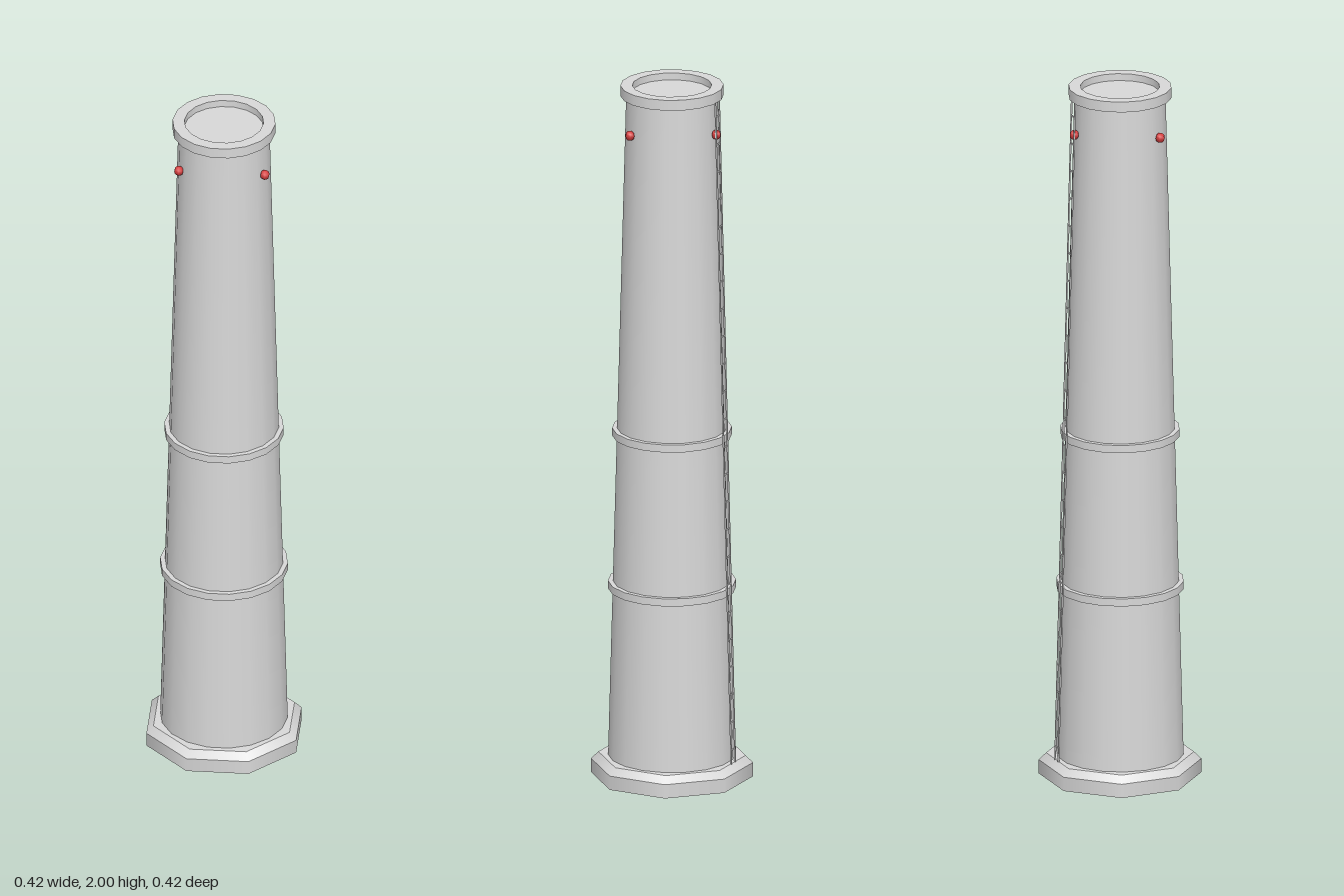
import * as THREE from 'three';

const SIDES = 18;
const BOTTOM = { y: 0.06, r: 0.177 };
const TOP = { y: 1.97, r: 0.127 };
const shaftRadius = (y) =>
  THREE.MathUtils.mapLinear(y, BOTTOM.y, TOP.y, BOTTOM.r, TOP.r);

export function createModel() {
  const concrete = new THREE.MeshStandardMaterial({ color: 0xd8d8d8 });
  concrete.name = 'concrete';
  const red = new THREE.MeshStandardMaterial({ color: 0xd84040 });
  red.name = 'warningRed';

  const model = new THREE.Group();
  model.name = 'chimney';

  const add = (name, geometry, material, parent = model) => {
    const mesh = new THREE.Mesh(geometry, material);
    mesh.name = name;
    parent.add(mesh);
    return mesh;
  };

  // Smooth frustum standing on y, with a flat side towards the front
  const frustum = (name, rTop, rBottom, y, h, sides, open = false) => {
    const g = new THREE.CylinderGeometry(rTop, rBottom, h, sides, 1, open, Math.PI / sides);
    g.translate(0, y + h / 2, 0);
    return add(name, g, concrete);
  };

  // Octagonal plinth with a sloping upper edge
  const corner = 1 / Math.cos(Math.PI / 8);
  frustum('plinth', 0.208 * corner, 0.208 * corner, 0, 0.04, 8);
  frustum('plinthBevel', 0.189 * corner, 0.208 * corner, 0.04, 0.02, 8);

  // Tapering shaft
  frustum('shaft', TOP.r, BOTTOM.r, BOTTOM.y, TOP.y - BOTTOM.y, SIDES, true);

  // Raised bands around the shaft
  [['lowerBand', 0.542], ['upperBand', 0.985]].forEach(([name, y]) => {
    const r = shaftRadius(y) + 0.013;
    frustum(name, r, r, y, 0.022, SIDES);
  });

  // Rim with a shallow recessed mouth
  const start = Math.PI / SIDES;
  const ring = (name, rInner, rOuter, y, facing) => {
    const g = new THREE.RingGeometry(rInner, rOuter, SIDES);
    g.rotateX((-facing * Math.PI) / 2).translate(0, y, 0);
    add(name, g, concrete);
  };
  frustum('rimWall', 0.143, 0.143, 1.97, 0.03, SIDES, true);
  ring('rimTop', 0.11, 0.143, 2, 1);
  ring('rimUnderside', 0.12, 0.143, 1.97, -1);
  const mouth = [new THREE.Vector2(0.11, 2), new THREE.Vector2(0.11, 1.98)];
  add('mouthWall', new THREE.LatheGeometry(mouth, SIDES, start), concrete);
  const floor = new THREE.CircleGeometry(0.11, SIDES);
  floor.rotateX(-Math.PI / 2).translate(0, 1.98, 0);
  add('mouthFloor', floor, concrete);

  // Ladder leaning along the back of the shaft
  const ladder = new THREE.Group();
  ladder.name = 'ladder';
  const height = TOP.y - BOTTOM.y;
  const lean = Math.atan2(BOTTOM.r - TOP.r, height);
  const length = height / Math.cos(lean);
  const middle = (BOTTOM.y + TOP.y) / 2;
  ladder.position.set(0, middle, -(shaftRadius(middle) + 0.014));
  ladder.rotation.x = lean;
  const rail = new THREE.BoxGeometry(0.003, length, 0.004);
  [-1, 1].forEach((side) => {
    add(side > 0 ? 'leftRail' : 'rightRail', rail, concrete, ladder).position.x = side * 0.0115;
  });
  const rung = new THREE.BoxGeometry(0.023, 0.004, 0.003);
  const rungs = 24;
  for (let i = 0; i < rungs; i++) {
    add('rung', rung, concrete, ladder).position.y = ((i + 0.5) / rungs - 0.5) * length;
  }
  model.add(ladder);

  // Three warning lights spaced evenly near the top, each with a corner outwards
  const bulb = new THREE.SphereGeometry(0.014, 6, 6);
  bulb.rotateY(Math.PI / 6);
  for (let i = 0; i < 3; i++) {
    const a = Math.PI + (i * Math.PI * 2) / 3;
    const light = add('warningLight', bulb, red);
    light.position.set(Math.sin(a) * 0.138, 1.876, Math.cos(a) * 0.138);
    light.rotation.y = a;
  }

  return model;
}
